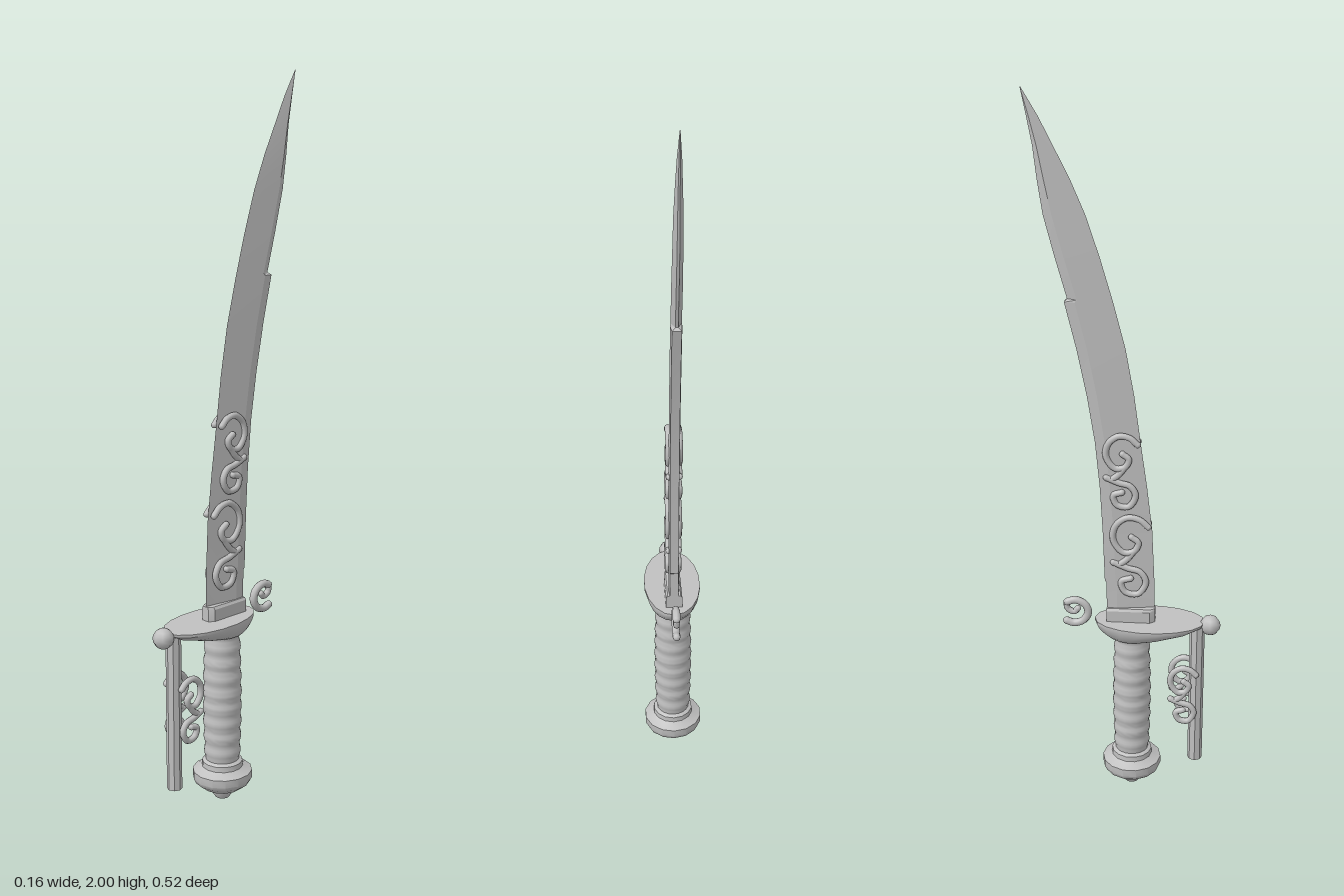
import * as THREE from 'three';
import { toCreasedNormals } from 'three/addons/utils/BufferGeometryUtils.js';

const steel = new THREE.MeshStandardMaterial({ color: 0xc0c0c0 });
steel.name = 'steel grey';

// Closed skin over rings of points; rings run upward, anticlockwise from above
function loft(rings, crease = 0.5) {
  const pos = [];
  const tri = (...pts) => pts.forEach((p) => pos.push(p.x, p.y, p.z));
  const centre = (r) => r.reduce((s, p) => s.add(p), new THREE.Vector3()).divideScalar(r.length);
  const n = rings[0].length;
  const last = rings[rings.length - 1];
  const lo = centre(rings[0]), hi = centre(last);
  for (let i = 0; i < n; i++) {
    const j = (i + 1) % n;
    for (let k = 0; k < rings.length - 1; k++) {
      const a = rings[k], b = rings[k + 1];
      tri(a[i], a[j], b[j]);
      tri(a[i], b[j], b[i]);
    }
    tri(lo, rings[0][j], rings[0][i]);
    tri(hi, last[i], last[j]);
  }
  const g = new THREE.BufferGeometry();
  g.setAttribute('position', new THREE.Float32BufferAttribute(pos, 3));
  g.computeVertexNormals();
  return toCreasedNormals(g, crease);
}

function ellipseRing(y, cz, rx, rz, n) {
  return Array.from({ length: n }, (_, i) => {
    const a = (i / n) * Math.PI * 2;
    return new THREE.Vector3(Math.sin(a) * rx, y, cz + Math.cos(a) * rz);
  });
}

function lathe(profile, sides) {
  const g = new THREE.LatheGeometry(profile.map(([r, y]) => new THREE.Vector2(r, y)), sides);
  return toCreasedNormals(g, 0.6);
}

export function createModel() {
  const model = new THREE.Group();
  const add = (name, geo, x = 0, y = 0, z = 0, parent = model) => {
    const m = new THREE.Mesh(geo, steel);
    m.name = name;
    m.position.set(x, y, z);
    parent.add(m);
    return m;
  };

  // Round wire with rounded ends, following [z, y] points
  const wire = (name, pts, r, x, parent) => {
    const path = pts.map(([z, y]) => new THREE.Vector3(x, y, z));
    const curve = new THREE.CatmullRomCurve3(path);
    add(name, new THREE.TubeGeometry(curve, pts.length * 5, r, 8), 0, 0, 0, parent);
    for (const p of [path[0], path[path.length - 1]])
      add(name + 'End', new THREE.SphereGeometry(r, 8, 6), p.x, p.y, p.z, parent);
  };

  // Curved blade: [y, cutting edge z, spine z, half thickness]
  const sections = [
    [0.54, 0.078, -0.055, 0.015], [0.66, 0.077, -0.055, 0.015], [0.665, 0.077, -0.06, 0.015],
    [0.82, 0.07, -0.065, 0.015], [0.95, 0.055, -0.072, 0.015], [1.08, 0.037, -0.084, 0.015],
    [1.21, 0.02, -0.104, 0.015], [1.34, -0.003, -0.13, 0.015], [1.465, -0.035, -0.16, 0.015],
    [1.472, -0.037, -0.153, 0.014], [1.58, -0.068, -0.183, 0.014], [1.69, -0.104, -0.211, 0.013],
    [1.78, -0.142, -0.224, 0.012], [1.86, -0.182, -0.233, 0.009], [1.93, -0.217, -0.246, 0.006],
    [2.0, -0.2585, -0.26, 0.0008],
  ];
  add('blade', loft(sections.map(([y, f, b, t]) => {
    const mid = f + (b - f) * 0.78;
    const back = y > 1.47 ? t * 0.25 : t * 0.8;
    return [[0, f], [t, mid], [back, b], [-back, b], [-t, mid]].map(([x, z]) => new THREE.Vector3(x, y, z));
  }), 0.15));

  // Collar at the foot of the blade
  const collar = [[0.012, 0.08], [0.023, 0.066], [0.023, -0.055], [-0.023, -0.055], [-0.023, 0.066], [-0.012, 0.08]];
  add('collar', loft([0.535, 0.575, 0.582].map((y, k) =>
    collar.map(([x, z]) => new THREE.Vector3(x * (k === 2 ? 0.8 : 1), y, z)))));

  // Shallow dished hand guard
  add('guard', loft([
    [0.488, 0.012, 0.042, 0.05], [0.493, 0.02, 0.055, 0.072], [0.503, 0.033, 0.066, 0.1],
    [0.52, 0.055, 0.076, 0.138], [0.534, 0.064, 0.081, 0.154], [0.542, 0.065, 0.081, 0.155],
  ].map((r) => ellipseRing(...r, 18)), 0.6));

  // Ribbed grip
  const grip = [];
  for (let i = 0; i <= 54; i++) {
    const t = i / 54;
    grip.push([0.048 + 0.005 * Math.sin(t * Math.PI) + 0.002 * Math.cos(t * Math.PI * 18), 0.1 + t * 0.4]);
  }
  add('grip', lathe(grip, 20), 0, 0, 0.015);

  // Pommel with a small end button
  add('pommel', lathe([
    [0, 0], [0.02, 0.002], [0.027, 0.012], [0.03, 0.022], [0.055, 0.034], [0.078, 0.052],
    [0.084, 0.064], [0.084, 0.086], [0.07, 0.092], [0.058, 0.099], [0.057, 0.114], [0.048, 0.12], [0, 0.12],
  ], 14), 0, 0, 0.015);

  // Knuckle bar with a ball on top
  add('knuckleBar', toCreasedNormals(new THREE.CylinderGeometry(0.021, 0.021, 0.44, 8), 0.6), 0, 0.31, 0.199);
  add('guardBall', new THREE.SphereGeometry(0.029, 8, 8), 0, 0.532, 0.235);

  // Curled hook behind the guard
  wire('rearHook', [
    [-0.168, 0.588], [-0.145, 0.595], [-0.118, 0.582], [-0.109, 0.557],
    [-0.122, 0.532], [-0.148, 0.522], [-0.17, 0.528],
  ], 0.011, 0);
  wire('rearHookCurl', [[-0.17, 0.58], [-0.166, 0.566], [-0.148, 0.558], [-0.138, 0.568]], 0.009, 0);

  // Scrollwork: three strokes making a double curl, in [z, y] about the centre
  const strokes = [
    [[0.048, 0.09], [0.024, 0.111], [-0.01, 0.116], [-0.042, 0.09], [-0.048, 0.048],
      [-0.021, 0.011], [0.01, 0.016], [0.021, 0.042], [0.002, 0.058]],
    [[-0.048, -0.021], [-0.01, -0.037], [0.026, -0.048], [0.042, -0.079],
      [0.021, -0.116], [-0.016, -0.111], [-0.026, -0.079], [0, -0.069]],
    [[0.008, 0.014], [-0.01, -0.01], [-0.03, -0.026]],
  ];
  const scrolls = [
    ['lowerBladeScroll', 0.014, 0.746, 0.012, 1],
    ['upperBladeScroll', 0.014, 0.998, -0.012, 0.88],
    ['knuckleScroll', 0.03, 0.318, 0.163, 0.74],
  ];
  for (const [name, x, y, z, s] of scrolls) {
    for (const side of [1, -1]) {
      const group = new THREE.Group();
      group.name = name + (side > 0 ? 'Left' : 'Right');
      strokes.forEach((pts) =>
        wire('curl', pts.map(([pz, py]) => [z + pz * s, y + py * s]), 0.009, x * side, group));
      model.add(group);
    }
  }
  return model;
}
